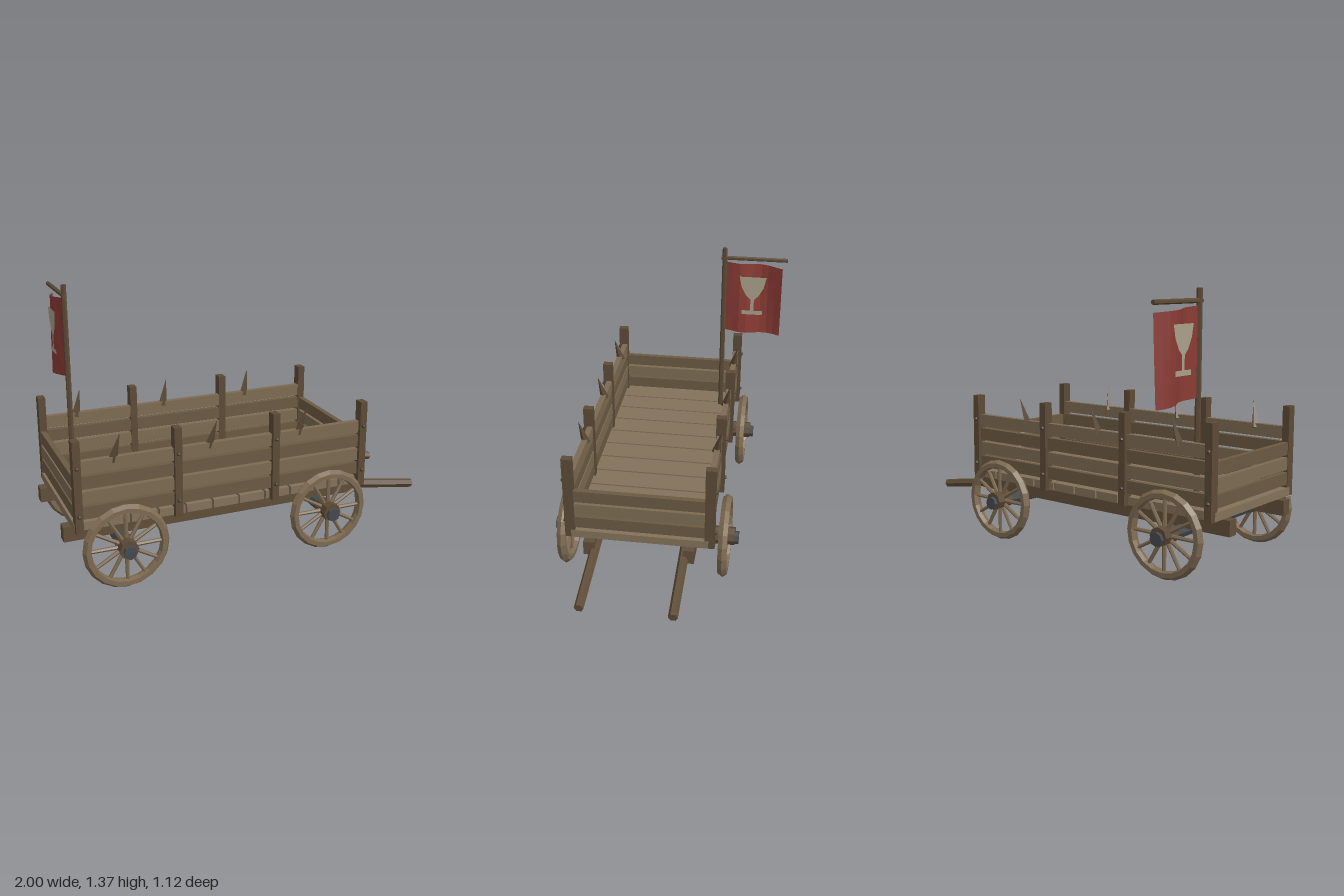
import * as THREE from 'three';

const mat = (color, side = THREE.FrontSide) =>
  new THREE.MeshStandardMaterial({ color, side, flatShading: true });
const M = {
  plank: mat(0x83725a), board: mat(0x7c6b52), boardDark: mat(0x6b5a43),
  post: mat(0x5c4a36), beam: mat(0x604e39), rim: mat(0x7d6a52),
  iron: mat(0x454a4e), bolt: mat(0x4c4034),
  cloth: mat(0x8a3b34, THREE.DoubleSide), emblem: mat(0xaaa08a, THREE.DoubleSide),
};
const CZ = 0.073; // centre line of the wagon body

function add(parent, name, geo, material, x = 0, y = 0, z = 0) {
  const m = new THREE.Mesh(geo, material);
  m.name = name;
  m.position.set(x, y, z);
  parent.add(m);
  return m;
}
const box = (p, name, material, size, pos) =>
  add(p, name, new THREE.BoxGeometry(...size), material, ...pos);

// Tapered rod between two points
function rod(p, name, material, a, b, r0, r1, sides) {
  const A = new THREE.Vector3(...a), B = new THREE.Vector3(...b);
  const d = B.clone().sub(A);
  const m = add(p, name, new THREE.CylinderGeometry(r1, r0, d.length(), sides), material);
  m.position.copy(A).add(B).multiplyScalar(0.5);
  m.quaternion.setFromUnitVectors(new THREE.Vector3(0, 1, 0), d.normalize());
  return m;
}

function makeWheel() {
  const g = new THREE.Group();
  g.name = 'wheel';
  // Rim: bevelled cross-section turned around the axle
  const profile = [[0.174, 0], [0.18, -0.023], [0.203, -0.023], [0.218, 0],
    [0.203, 0.023], [0.18, 0.023], [0.174, 0]].map(([r, y]) => new THREE.Vector2(r, y));
  add(g, 'rim', new THREE.LatheGeometry(profile, 20), M.rim).rotation.x = Math.PI / 2;
  for (let i = 0; i < 12; i++) {
    const a = (i / 12) * Math.PI * 2, c = Math.cos(a), s = Math.sin(a);
    rod(g, 'spoke', M.rim, [c * 0.035, s * 0.035, 0], [c * 0.185, s * 0.185, 0], 0.011, 0.009, 6);
  }
  rod(g, 'hub', M.post, [0, 0, -0.052], [0, 0, 0.052], 0.048, 0.048, 8);
  return g;
}

function makeBanner() {
  const g = new THREE.Group();
  g.name = 'banner';
  const X = -0.808;
  rod(g, 'pole', M.post, [X, 0.33, -0.2], [X, 1.375, -0.2], 0.015, 0.014, 6);
  rod(g, 'crossbar', M.post, [X, 1.317, -0.18], [X, 1.317, -0.56], 0.012, 0.012, 6);
  // Rippled cloth that sags towards its free edge
  const geo = new THREE.PlaneGeometry(1, 1, 8, 4);
  const p = geo.attributes.position;
  for (let i = 0; i < p.count; i++) {
    const u = p.getX(i) + 0.5, v = p.getY(i) + 0.5;
    p.setXYZ(i, X + 0.024 * Math.sin(u * Math.PI * 2 + v * 0.8) * Math.min(1, u * 3),
      0.867 - 0.024 * u + 0.427 * v, -0.212 - 0.323 * u);
  }
  geo.computeVertexNormals();
  add(g, 'cloth', geo, M.cloth);
  // Plain cup shape on both sides of the cloth
  const half = [[0.078, 1.218], [0.064, 1.155], [0.036, 1.103], [0.01, 1.078],
    [0.01, 1.01], [0.06, 1.01], [0.06, 0.985]];
  const outline = [...half, ...half.slice().reverse().map(([x, y]) => [-x, y])];
  const shape = new THREE.Shape(outline.map(([x, y]) => new THREE.Vector2(x, y)));
  for (const s of [-1, 1]) {
    add(g, 'cup', new THREE.ShapeGeometry(shape), M.emblem, X + s * 0.031, 0, -0.369)
      .rotation.y = s * Math.PI / 2;
  }
  return g;
}

export function createModel() {
  const wagon = new THREE.Group();
  wagon.name = 'wagon';

  // Floor planks laid across the frame
  for (let i = 0; i < 11; i++) {
    box(wagon, 'floorPlank', M.plank, [0.133, 0.042, 0.7], [-0.897 + i * 0.1432, 0.334, CZ]);
  }

  // Lengthwise beams and pulling shafts
  for (const s of [-1, 1]) {
    box(wagon, 'beam', M.beam, [1.635, 0.078, 0.058], [-0.183, 0.273, CZ + s * 0.254]);
    const z = CZ + s * 0.228;
    rod(wagon, 'shaft', M.beam, [0.5, 0.274, z], [0.997, 0.196, z], 0.026, 0.024, 6);
  }

  // Side walls: boards, posts, bolts and splinters
  const postX = [-0.942, -0.442, 0.08, 0.58];
  for (const s of [-1, 1]) {
    const wall = new THREE.Group();
    wall.name = 'sideWall';
    wagon.add(wall);
    for (let i = 0; i < 4; i++) {
      box(wall, 'sideBoard', i % 2 ? M.board : M.boardDark, [1.53, 0.064, 0.03],
        [-0.178, 0.407 + i * 0.0765, CZ + s * 0.349]);
    }
    for (const x of postX) {
      box(wall, 'post', M.post, [0.038, 0.463, 0.052], [x, 0.543, CZ + s * 0.356]);
      for (const y of [0.4, 0.643]) {
        add(wall, 'bolt', new THREE.SphereGeometry(0.011, 6, 4), M.bolt, x, y, CZ + s * 0.383);
      }
    }
    for (const x of [-0.762, -0.272, 0.217]) {
      rod(wall, 'splinter', M.post, [x, 0.645, CZ + s * 0.345], [x + 0.032, 0.782, CZ + s * 0.372],
        0.025, 0.001, 4);
    }
  }

  // End walls
  for (const x of [-0.944, 0.582]) {
    for (let i = 0; i < 3; i++) {
      box(wagon, 'endBoard', i % 2 ? M.board : M.boardDark, [0.028, 0.064, 0.665],
        [x, 0.403 + i * 0.0775, CZ]);
    }
  }

  // Axles and wheels
  for (const x of [-0.728, 0.365]) {
    rod(wagon, 'axle', M.iron, [x, 0.218, CZ - 0.488], [x, 0.218, CZ + 0.488], 0.034, 0.034, 8);
    for (const s of [-1, 1]) {
      const w = makeWheel();
      w.position.set(x, 0.226, CZ + s * 0.417);
      wagon.add(w);
    }
  }

  wagon.add(makeBanner());
  return wagon;
}
